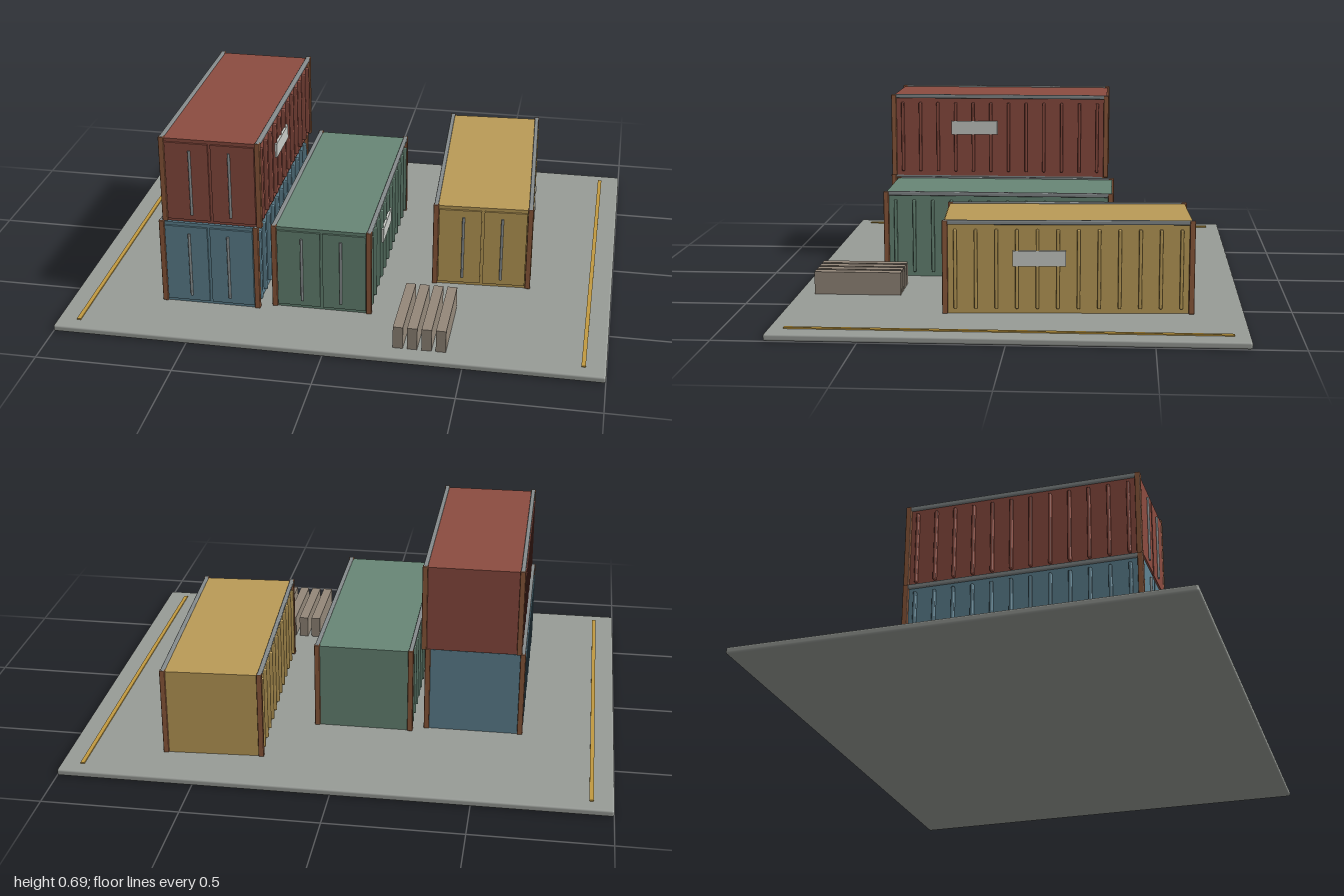
import * as THREE from 'three';
import { RoundedBoxGeometry } from 'three/addons/geometries/RoundedBoxGeometry.js';

const material = (name, color) => {
  const m = new THREE.MeshStandardMaterial({ color });
  m.name = name;
  return m;
};

// Adds a box centred on x, z with its bottom at y
function box(parent, name, mat, [w, h, d], [x, y, z], radius = 0) {
  const geo = radius ? new RoundedBoxGeometry(w, h, d, 2, radius) : new THREE.BoxGeometry(w, h, d);
  const mesh = new THREE.Mesh(geo, mat);
  mesh.name = name;
  mesh.position.set(x, y + h / 2, z);
  parent.add(mesh);
  return mesh;
}

// Container standing on y = 0 with its doors facing +z
function createContainer(name, paint, mats) {
  const g = new THREE.Group();
  g.name = name;
  const halfW = 0.174, halfL = 0.437, height = 0.33;
  box(g, 'containerBody', paint, [halfW * 2, height, halfL * 2], [0, 0, 0]);

  for (const side of [-1, 1]) {
    // Corrugation ribs
    for (let i = 0; i < 12; i++) {
      box(g, 'sideRib', paint, [0.018, 0.285, 0.012], [side * 0.179, 0.018, (i - 5.5) * 0.0725], 0.004);
    }
    // Top rail and corner posts
    box(g, 'topRail', mats.steel, [0.016, 0.016, 0.885], [side * 0.177, 0.32, 0], 0.004);
    for (const end of [-1, 1]) {
      box(g, 'cornerPost', mats.rust, [0.02, 0.335, 0.02], [side * 0.177, 0, end * 0.435], 0.003);
    }
    // Door leaf with its locking bar
    box(g, 'doorLeaf', paint, [0.16, 0.305, 0.012], [side * 0.085, 0.012, 0.438]);
    const bar = new THREE.Mesh(new THREE.CylinderGeometry(0.005, 0.005, 0.255, 10), mats.steel);
    bar.name = 'lockingBar';
    bar.position.set(side * 0.073, 0.162, 0.447);
    g.add(bar);
  }
  // Blank plate on one side
  box(g, 'sidePlate', mats.plate, [0.009, 0.055, 0.188], [0.187, 0.173, 0.103]);
  return g;
}

export function createModel() {
  const model = new THREE.Group();
  model.name = 'containerYard';
  const mats = {
    concrete: material('concrete', 0x989c97),
    red: material('redPaint', 0x8c4c40),
    blue: material('bluePaint', 0x5f8392),
    green: material('greenPaint', 0x688776),
    yellow: material('yellowPaint', 0xba9b57),
    rust: material('rustBrown', 0x8e5a3c),
    steel: material('steelGrey', 0x858b8c),
    plate: material('paleGrey', 0xc8cbc6),
    timber: material('timber', 0x94887a),
    line: material('lineYellow', 0xc29a40),
  };

  // Ground slab with painted edge lines
  box(model, 'groundSlab', mats.concrete, [2, 0.025, 1.64], [0, 0, 0], 0.008);
  for (const side of [-1, 1]) {
    box(model, 'edgeLine', mats.line, [0.015, 0.006, 1.53], [side * 0.92, 0.024, 0]);
  }

  // Containers: name, paint, position, turn
  const containers = [
    ['blueContainer', 'blue', [-0.47, 0.025, 0.125], 0],
    ['redContainer', 'red', [-0.456, 0.358, 0.12], 0],
    ['greenContainer', 'green', [-0.056, 0.025, 0.095], 0],
    ['yellowContainer', 'yellow', [0.484, 0.025, -0.188], 0.05],
  ];
  for (const [name, paint, position, turn] of containers) {
    const c = createContainer(name, mats[paint], mats);
    c.position.set(...position);
    c.rotation.y = turn;
    model.add(c);
  }

  // Row of timber beams
  for (let i = 0; i < 4; i++) {
    box(model, 'timberBeam', mats.timber, [0.036, 0.085, 0.322], [0.263 + i * 0.0515, 0.025, 0.593]);
  }
  return model;
}
